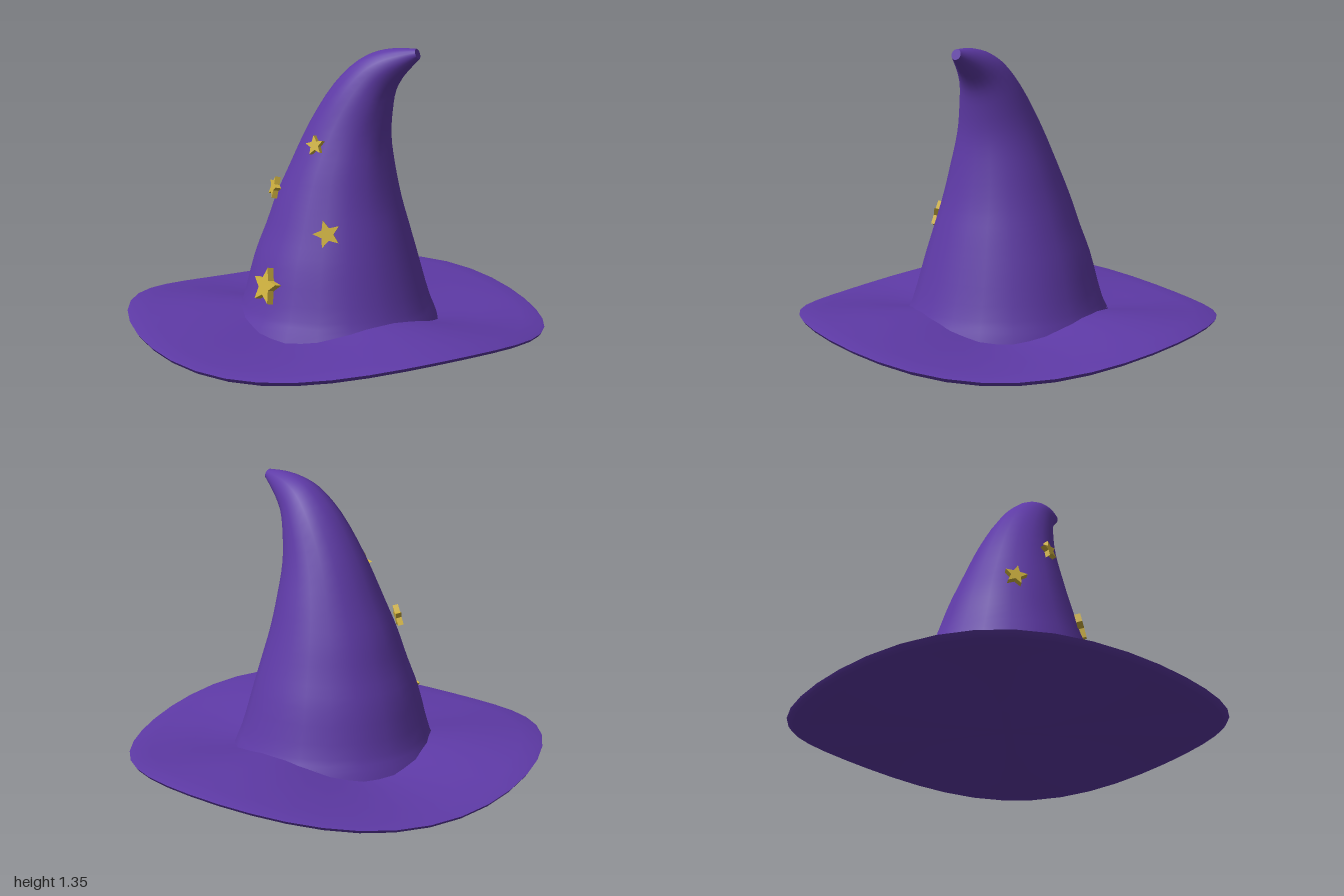
import * as THREE from 'three';
import { toCreasedNormals } from 'three/addons/utils/BufferGeometryUtils.js';

const purple = new THREE.MeshStandardMaterial({ color: 0x5e3aa6 });
purple.name = 'purple felt';
const gold = new THREE.MeshStandardMaterial({ color: 0xd2b440 });
gold.name = 'gold';

// Three gentle waves around the hat: high at the back, low at the front
const wave = (x, z) => -0.04 * Math.cos(3 * Math.atan2(x, z));

function mesh(name, geometry, material) {
  const m = new THREE.Mesh(geometry, material);
  m.name = name;
  return m;
}

// Thin closed disc whose surface follows the waves
function brimGeometry() {
  const profile = [
    [0, 0.045], [0.25, 0.046], [0.5, 0.05], [0.75, 0.052], [0.9, 0.05], [0.97, 0.05],
    [0.99, 0.06], [1, 0.074], [0.985, 0.078], [0.9, 0.083], [0.7, 0.088], [0.5, 0.085], [0.3, 0.085],
  ].map(([r, y]) => new THREE.Vector2(r, y));
  const g = new THREE.LatheGeometry(profile, 40);
  const p = g.attributes.position;
  for (let i = 0; i < p.count; i++) {
    const x = p.getX(i), z = p.getZ(i);
    p.setY(i, p.getY(i) + wave(x, z) * Math.min(1, Math.hypot(x, z) / 0.48));
  }
  return toCreasedNormals(g, 0.7);
}

// Bent cone: round sections spanning a left and a right outline
function crownGeometry() {
  const left = [[-0.49, 0.068], [-0.455, 0.14], [-0.395, 0.36], [-0.34, 0.5], [-0.29, 0.64], [-0.225, 0.78],
    [-0.12, 0.995], [0.01, 1.19], [0.13, 1.3], [0.22, 1.34], [0.32, 1.357], [0.41, 1.357]];
  const right = [[0.49, 0.068], [0.46, 0.14], [0.395, 0.36], [0.355, 0.5], [0.318, 0.63], [0.285, 0.8],
    [0.27, 0.94], [0.28, 1.06], [0.3, 1.155], [0.335, 1.215], [0.375, 1.26], [0.425, 1.31]];
  const curve = (pts) => new THREE.CatmullRomCurve3(pts.map(([x, y]) => new THREE.Vector3(x, y, 0)));
  const lc = curve(left), rc = curve(right);
  const rows = 33, sides = 20, pos = [], index = [];
  for (let i = 0; i <= rows + 1; i++) {
    const t = Math.min(1, i / rows);
    const l = lc.getPoint(t), r = rc.getPoint(t);
    const c = l.clone().add(r).multiplyScalar(0.5);
    const u = r.clone().sub(l).multiplyScalar(i > rows ? 0 : 0.5); // last row closes the tip
    const radius = u.length();
    for (let j = 0; j < sides; j++) {
      const a = (j / sides) * Math.PI * 2, ca = Math.cos(a), sa = Math.sin(a);
      // the hem follows the brim
      const w = i === 0 ? wave(ca, sa) : 0, k = 1 - w * 0.7;
      pos.push(c.x + u.x * ca * k, c.y + u.y * ca + w, radius * sa * k);
      if (i <= rows) {
        const n = (j + 1) % sides, p = i * sides, q = p + sides;
        if (i < rows) index.push(p + j, q + j, p + n, p + n, q + j, q + n);
        else index.push(p + j, q + j, p + n);
      }
    }
  }
  const g = new THREE.BufferGeometry();
  g.setAttribute('position', new THREE.Float32BufferAttribute(pos, 3));
  g.setIndex(index);
  return toCreasedNormals(g, 0.9);
}

// Five-pointed star plate
function starGeometry(radius) {
  const shape = new THREE.Shape();
  for (let i = 0; i < 10; i++) {
    const r = i % 2 ? radius * 0.45 : radius, a = Math.PI / 2 + (i * Math.PI) / 5;
    shape[i ? 'lineTo' : 'moveTo'](r * Math.cos(a), r * Math.sin(a));
  }
  shape.closePath();
  const depth = radius * 0.2 + 0.016;
  return new THREE.ExtrudeGeometry(shape, { depth, bevelEnabled: false }).translate(0, 0, -depth / 2);
}

export function createModel() {
  const hat = new THREE.Group();
  hat.name = 'pointedHat';
  hat.add(mesh('brim', brimGeometry(), purple), mesh('crown', crownGeometry(), purple));

  // x, y, z, radius, yaw, roll
  const stars = [
    [-0.145, 0.272, 0.41, 0.088, -0.42, -0.05],
    [0.125, 0.53, 0.325, 0.066, 0.45, 0.3],
    [-0.223, 0.693, 0.195, 0.054, -0.75, -0.2],
    [0.012, 0.915, 0.225, 0.047, -0.05, 0.2],
  ];
  const group = new THREE.Group();
  group.name = 'stars';
  stars.forEach(([x, y, z, r, yaw, roll], i) => {
    const s = mesh(`star${i + 1}`, starGeometry(r), gold);
    s.position.set(x, y, z);
    s.rotation.set(-0.22, yaw, roll, 'YXZ');
    group.add(s);
  });
  hat.add(group);
  return hat;
}
